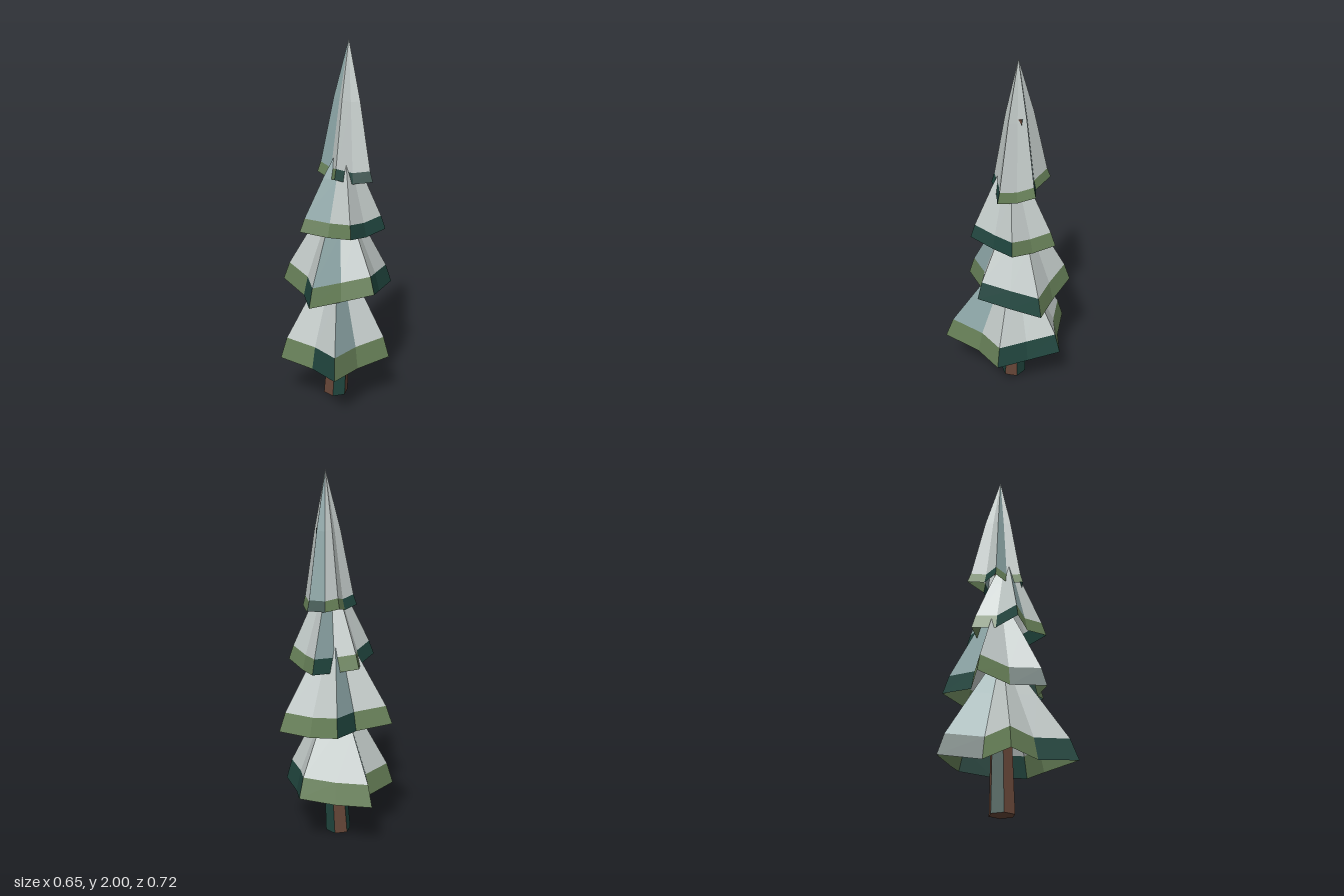
import * as THREE from 'three';

const material = (name, color) => {
  const m = new THREE.MeshStandardMaterial({ color, flatShading: true, side: THREE.DoubleSide });
  m.name = name;
  return m;
};

// Collects flat polygons per material, then makes one mesh for each.
class Facets {
  constructor() { this.lists = new Map(); }
  add(mat, ...pts) {
    if (!this.lists.has(mat)) this.lists.set(mat, []);
    const list = this.lists.get(mat);
    for (let i = 1; i < pts.length - 1; i++) {
      for (const p of [pts[0], pts[i], pts[i + 1]]) list.push(p.x, p.y, p.z);
    }
  }
  toGroup(name) {
    const group = new THREE.Group();
    group.name = name;
    for (const [mat, list] of this.lists) {
      const geo = new THREE.BufferGeometry();
      geo.setAttribute('position', new THREE.Float32BufferAttribute(list, 3));
      geo.computeVertexNormals();
      const mesh = new THREE.Mesh(geo, mat);
      mesh.name = `${name} ${mat.name}`;
      group.add(mesh);
    }
    return group;
  }
}

const V = (x, y, z) => new THREE.Vector3(x, y, z);

// Five branch tips per tier (counter-clockwise from above), apex and hem height.
const TIERS = [
  { name: 'bottomTier', hem: 0.115, apex: [0, 0.9, -0.02],
    tips: [[-0.11, 0.265, -0.36], [-0.33, 0.25, -0.025], [-0.125, 0.265, 0.355], [0.245, 0.265, 0.155], [0.25, 0.29, -0.21]] },
  { name: 'lowerTier', hem: 0.1, apex: [0.01, 1.24, -0.03],
    tips: [[0.07, 0.655, -0.325], [-0.27, 0.66, -0.185], [-0.215, 0.62, 0.18], [0.13, 0.68, 0.23], [0.325, 0.625, -0.065]] },
  { name: 'upperTier', hem: 0.075, apex: [0.025, 1.5, 0.01],
    tips: [[0.17, 0.965, -0.195], [-0.08, 0.98, -0.195], [-0.225, 1.0, 0.03], [0, 1.0, 0.225], [0.24, 0.99, 0.07]] },
  { name: 'topTier', hem: 0.055, apex: [0.057, 2, -0.02],
    tips: [[0.17, 1.28, -0.08], [0.03, 1.31, -0.21], [-0.1, 1.3, -0.07], [-0.05, 1.29, 0.09], [0.15, 1.27, 0.12]] },
];
// How far each notch between two tips is pulled inwards.
const NOTCH = [0.7, 0.82, 0.83, 0.92, 0.93];
// Colours of the ten panels of a tier: T teal hem, O olive hem; F frost, S snow above.
const HEMS = 'TOOTOOTTOO';
const TOPS = 'FSSSFSSSSS';

function makeTier({ name, hem, apex, tips }, mats) {
  const facets = new Facets();
  const top = V(...apex);
  const points = tips.map((t) => V(...t));
  const centre = points.reduce((s, p) => s.add(p), V(0, 0, 0)).divideScalar(5);

  // Star-shaped rim: tip, notch, tip, notch...
  const rim = [];
  points.forEach((p, i) => {
    const mid = p.clone().add(points[(i + 1) % 5]).multiplyScalar(0.5);
    const notch = centre.clone().lerp(mid, NOTCH[i]);
    notch.y = mid.y - 0.02;
    rim.push(p, notch);
  });

  // Slightly bulging profile from rim to apex.
  const ring = (t, r) => rim.map((p) => V(
    top.x + (p.x - top.x) * r, p.y + (top.y - p.y) * t, top.z + (p.z - top.z) * r));
  const band = ring(hem / (top.y - centre.y), 0.89);
  const middle = ring(0.57, 0.47);

  for (let i = 0; i < 10; i++) {
    const j = (i + 1) % 10;
    facets.add(mats[HEMS[i]], rim[i], rim[j], band[j], band[i]);
    facets.add(mats[TOPS[i]], band[i], band[j], middle[j], middle[i]);
    facets.add(mats[TOPS[i]], middle[i], middle[j], top);
  }
  return facets.toGroup(name);
}

// Leaning six-sided trunk with alternating bark and teal sides.
function makeTrunk(mats) {
  const facets = new Facets();
  const ring = (x, y, z, r) => Array.from({ length: 6 }, (_, i) => {
    const a = (i * Math.PI) / 3;
    return V(x + r * Math.cos(a), y, z - r * Math.sin(a));
  });
  const base = ring(-0.013, 0, -0.02, 0.07);
  const top = ring(0.085, 1.7, -0.022, 0.023);
  for (let i = 0; i < 6; i++) {
    const j = (i + 1) % 6;
    facets.add(i % 2 ? mats.B : mats.T, base[i], base[j], top[j], top[i]);
  }
  facets.add(mats.B, ...base.slice().reverse());
  facets.add(mats.B, ...top);
  return facets.toGroup('trunk');
}

export function createModel() {
  const mats = {
    S: material('snow', 0xc3cbc9),
    F: material('frost', 0x8ba4a5),
    O: material('olive', 0x678058),
    T: material('teal', 0x20453e),
    B: material('bark', 0x664638),
  };
  const tree = new THREE.Group();
  tree.name = 'snowyFir';
  tree.add(makeTrunk(mats));
  for (const tier of TIERS) tree.add(makeTier(tier, mats));
  return tree;
}
